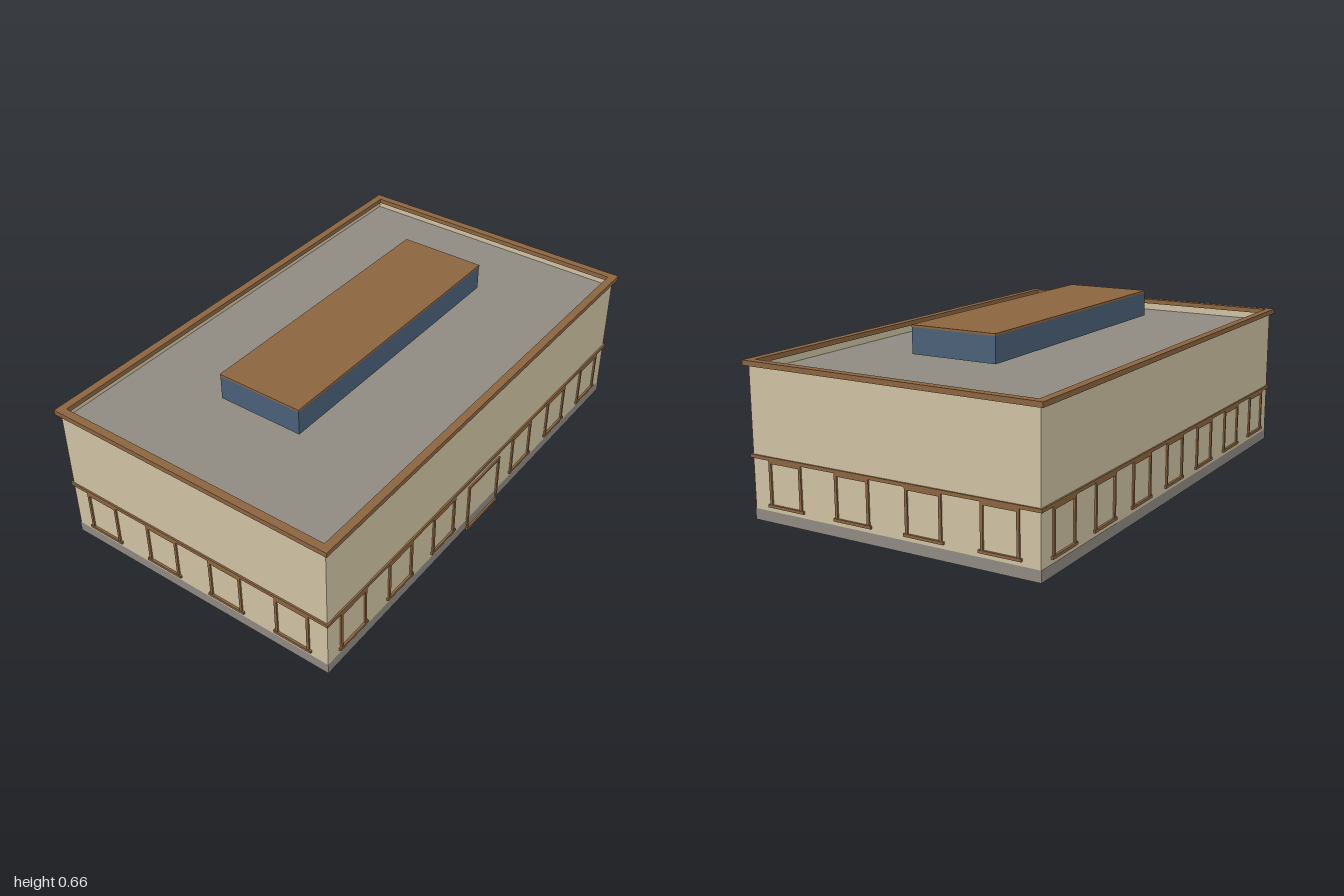
import * as THREE from 'three';

const mat = (name, color, side = THREE.FrontSide) => {
  const m = new THREE.MeshStandardMaterial({ color, side });
  m.name = name;
  return m;
};

export function createModel() {
  const beige = mat('beige wall', 0xcfc2a3, THREE.DoubleSide);
  const brown = mat('brown trim', 0x8b6540);
  const grey = mat('grey stone', 0x8f8a82, THREE.DoubleSide);
  const blue = mat('blue glass', 0x4a6078);

  const W = 1.855, D = 1.115;          // wall footprint
  const BASE = 0.01, TOP = 0.555;      // wall bottom and top
  const ROOF = 0.515;                  // sunken roof deck
  const model = new THREE.Group();
  model.name = 'building';

  const add = (parent, name, geometry, material, x, y, z) => {
    const m = new THREE.Mesh(geometry, material);
    m.name = name;
    m.position.set(x, y, z);
    parent.add(m);
    return m;
  };
  const box = (parent, name, material, w, h, d, x, y, z) =>
    add(parent, name, new THREE.BoxGeometry(w, h, d), material, x, y, z);

  // frame bars outside plus a pane on the inner face of the wall
  function opening(side, name, x, y0, y1, w, sill, paneMaterial) {
    const g = new THREE.Group();
    g.name = name;
    g.position.x = x;
    side.add(g);
    const t = 0.01, d = 0.006, z = 0.004, h = y1 - y0;
    for (const s of [-1, 1]) box(g, 'jamb', brown, t, h, d, s * (w - t) / 2, y0 + h / 2, z);
    box(g, 'head', brown, w, t, d, 0, y1 - t / 2, z);
    box(g, 'sill', brown, w + sill, t, d + 0.002, 0, y0 + t / 2, z + 0.001);
    const p0 = Math.max(y0 + t, BASE), p1 = y1 - t;
    box(g, 'pane', paneMaterial, w - 2 * t, p1 - p0, 0.004, 0, (p0 + p1) / 2, -0.004);
  }

  // one facade, built facing +z and then turned into place
  function facade(name, length, distance, angle, count, hasDoor) {
    const turn = new THREE.Group();
    turn.name = name;
    turn.rotation.y = angle;
    const side = new THREE.Group();
    side.name = name + 'Parts';
    side.position.z = distance;
    turn.add(side);
    model.add(turn);

    add(side, 'wall', new THREE.PlaneGeometry(length, TOP - BASE), beige, 0, (TOP + BASE) / 2, 0);
    add(side, 'plinth', new THREE.PlaneGeometry(length + 0.004, 0.04), grey, 0, 0.03, 0.002);
    box(side, 'beltCourse', brown, length + 0.014, 0.012, 0.006, 0, 0.234, 0.004);

    const pitch = length / count;
    for (let i = 0; i < count; i++) {
      const x = (i - (count - 1) / 2) * pitch;
      if (hasDoor && i === (count - 1) / 2) opening(side, 'door', x, 0, 0.206, 0.21, 0, brown);
      else opening(side, 'window', x, 0.065, 0.228, 0.138, 0.014, blue);
    }
  }
  facade('frontFacade', W, D / 2, 0, 7, true);
  facade('leftFacade', D, W / 2, Math.PI / 2, 4, false);
  facade('backFacade', W, D / 2, Math.PI, 7, false);
  facade('rightFacade', D, W / 2, -Math.PI / 2, 4, false);

  // roof deck inside the parapet
  add(model, 'roofDeck', new THREE.PlaneGeometry(W, D).rotateX(-Math.PI / 2), grey, 0, ROOF, 0);

  // coping ring on the parapet
  const rect = (Kind, w, d) => new Kind([
    new THREE.Vector2(-w / 2, -d / 2), new THREE.Vector2(w / 2, -d / 2),
    new THREE.Vector2(w / 2, d / 2), new THREE.Vector2(-w / 2, d / 2)]);
  const ring = rect(THREE.Shape, W + 0.03, D + 0.03);
  ring.holes.push(rect(THREE.Path, W - 0.03, D - 0.03));
  add(model, 'coping', new THREE.ExtrudeGeometry(ring, { depth: 0.018, bevelEnabled: false })
    .rotateX(-Math.PI / 2), brown, 0, 0.543, 0);

  // glazed rooftop lantern with a flat lid
  box(model, 'roofLantern', blue, 1.11, 0.093, 0.333, 0, 0.6015, 0);
  box(model, 'lanternLid', brown, 1.112, 0.008, 0.335, 0, 0.652, 0);

  model.rotation.y = 0.114;
  const root = new THREE.Group();
  root.name = 'model';
  root.add(model);
  return root;
}
